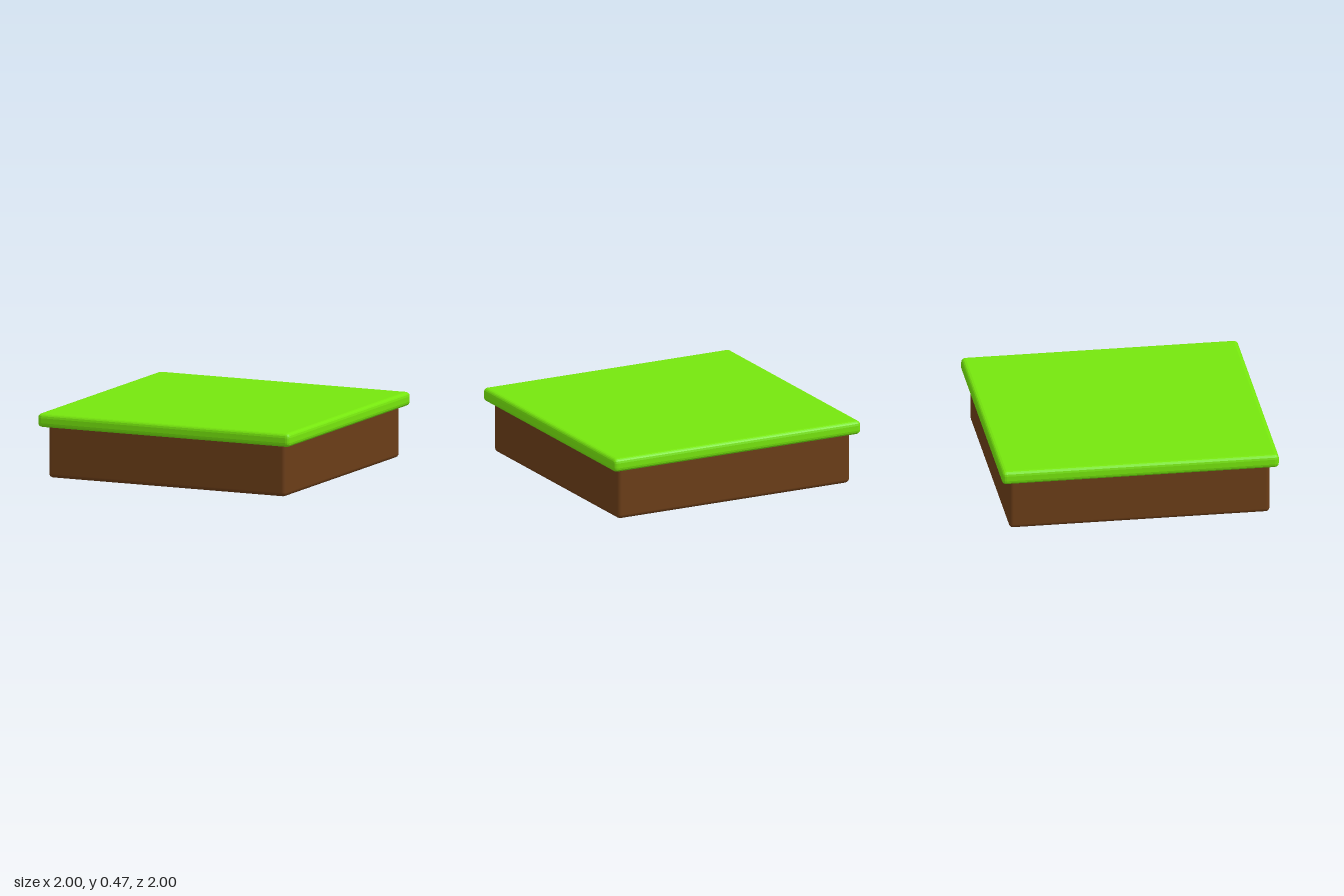
import * as THREE from 'three';
import { RoundedBoxGeometry } from 'three/addons/geometries/RoundedBoxGeometry.js';

// Square slab with softened edges, resting between two heights
function slab(name, width, bottom, top, radius, segments, color, flatShading) {
  const height = top - bottom;
  const mesh = new THREE.Mesh(
    new RoundedBoxGeometry(width, height, width, segments, radius),
    new THREE.MeshStandardMaterial({ color, flatShading })
  );
  mesh.name = name;
  mesh.position.y = bottom + height / 2;
  return mesh;
}

export function createModel() {
  const group = new THREE.Group();
  group.name = 'grassTile';

  // Earth block, its top tucked inside the grass
  group.add(slab('earthBlock', 1.88, 0, 0.42, 0.03, 3, 0x6b3d17, false));

  // Overhanging grass layer with faceted edges
  group.add(slab('grassLayer', 2, 0.37, 0.47, 0.032, 2, 0x76e60d, true));

  return group;
}
